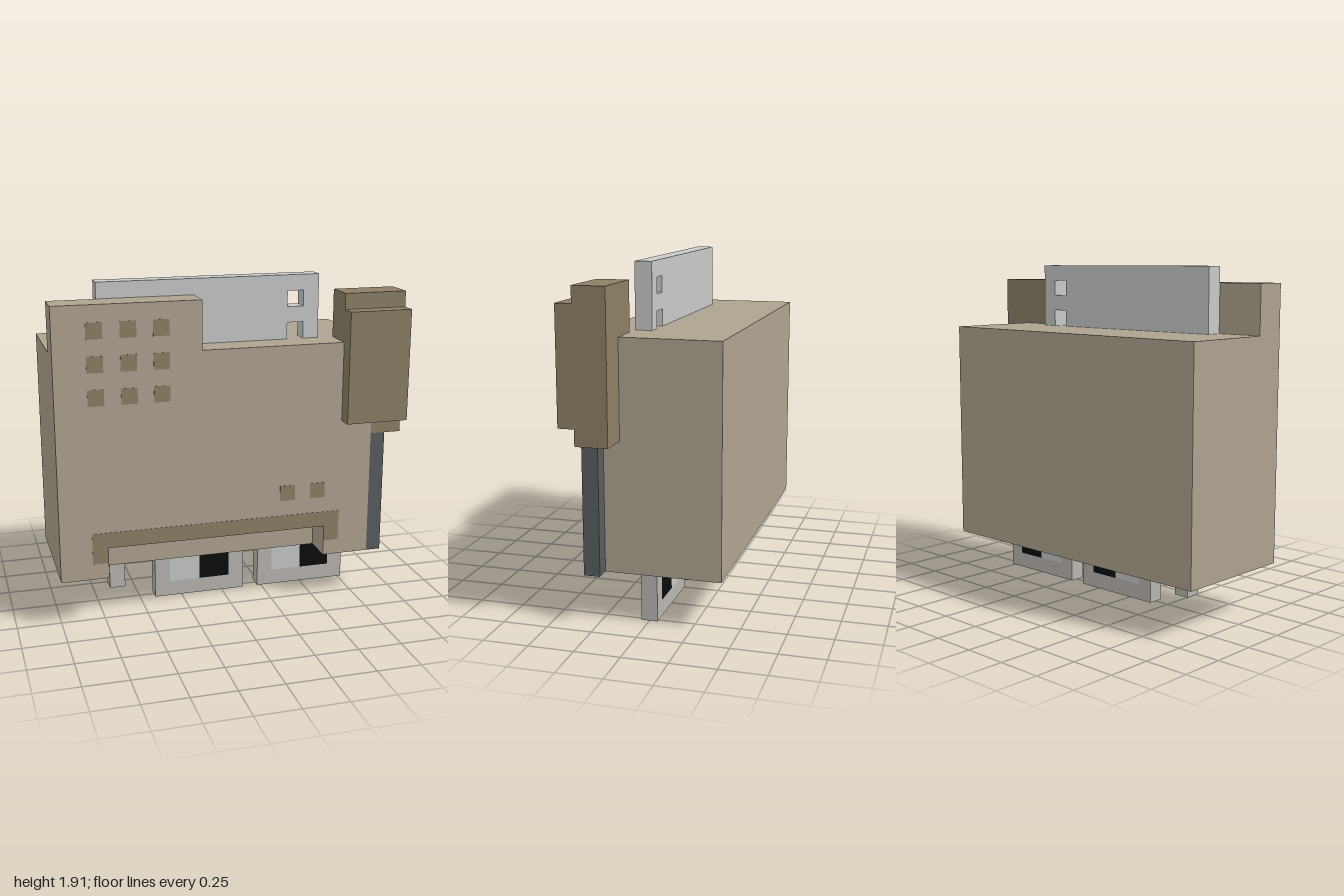
import * as THREE from 'three';

const material = (name, color) => Object.assign(new THREE.MeshStandardMaterial({ color }), { name });

export function createModel() {
  const model = new THREE.Group();
  model.name = 'blockRobot';

  const beige = material('beige', 0xaea390);
  const brown = material('brown', 0x8c8066);
  const silver = material('silver', 0xc8c9c9);
  const warmGrey = material('warmGrey', 0xbab5b1);
  const darkGrey = material('darkGrey', 0x595d5e);
  const black = material('black', 0x0c0c0c);

  const add = (name, geometry, mat) => {
    const mesh = new THREE.Mesh(geometry, mat);
    mesh.name = name;
    model.add(mesh);
    return mesh;
  };
  // Box given by its two limits on each axis
  const box = (name, mat, x0, x1, y0, y1, z0, z1) =>
    add(name, new THREE.BoxGeometry(x1 - x0, y1 - y0, z1 - z0)
      .translate((x0 + x1) / 2, (y0 + y1) / 2, (z0 + z1) / 2), mat);
  // Outline in the xy plane, extruded from z0 to z1
  const toPoints = (list) => list.map(([x, y]) => new THREE.Vector2(x, y));
  const slab = (name, mat, outline, z0, z1, holes = []) => {
    const shape = new THREE.Shape(toPoints(outline));
    for (const hole of holes) shape.holes.push(new THREE.Path(toPoints(hole)));
    add(name, new THREE.ExtrudeGeometry(shape, { depth: z1 - z0, bevelEnabled: false })
      .translate(0, 0, z0), mat);
  };

  // Body: plain rear box and a front slab with raised corner and bottom notch
  box('bodyRear', beige, -1, 0.82, 0.275, 1.545, -0.41, 0.14);
  slab('bodyFront', beige, [
    [-1, 0.275], [-0.73, 0.275], [-0.73, 0.455], [0.545, 0.455], [0.545, 0.275], [0.82, 0.275],
    [0.82, 1.545], [-0.185, 1.545], [-0.185, 1.82], [-1, 1.82],
  ], 0.14, 0.32);

  // Painted vents, buttons and notch border on the front
  const paint = (name, x0, x1, y0, y1) => box(name, brown, x0, x1, y0, y1, 0.318, 0.322);
  for (const x of [-0.82, -0.637, -0.456]) {
    for (const y of [1.272, 1.454, 1.636]) paint('ventSquare', x, x + 0.09, y, y + 0.09);
  }
  for (const x of [0.272, 0.454]) paint('button', x, x + 0.09, 0.636, 0.727);
  paint('notchBorderTop', -0.82, 0.635, 0.455, 0.545);
  paint('notchBorderRight', -0.82, -0.73, 0.365, 0.455);
  paint('notchBorderLeft', 0.545, 0.635, 0.365, 0.455);

  // Plate standing on top, with an open slot at its foot and a window above
  slab('topPlate', silver, [
    [-0.73, 1.545], [0.36, 1.545], [0.36, 1.64], [0.455, 1.64], [0.455, 1.545],
    [0.545, 1.545], [0.545, 1.91], [-0.73, 1.91],
  ], 0.045, 0.14, [[[0.36, 1.73], [0.36, 1.82], [0.455, 1.82], [0.455, 1.73]]]);

  // Side block on its dark post
  slab('sideBlock', brown, [
    [0.637, 1.09], [0.82, 1.09], [0.82, 1.0], [1, 1.0], [1, 1.82], [0.637, 1.82],
  ], 0.14, 0.32);
  box('sideBlockFront', brown, 0.637, 1, 1.09, 1.73, 0.32, 0.41);
  box('sidePost', darkGrey, 0.82, 0.905, 0.275, 1.0, 0.23, 0.32);

  // Two hanging frames with inset panes, flush on both sides
  for (const x of [-0.41, 0.227]) {
    slab('lensFrame', warmGrey, [
      [x, 0], [x + 0.545, 0], [x + 0.545, 0.275], [x + 0.455, 0.275],
      [x + 0.455, 0.09], [x + 0.09, 0.09], [x + 0.09, 0.275], [x, 0.275],
    ], -0.045, 0.045);
    box('lensLight', silver, x + 0.09, x + 0.273, 0.09, 0.275, -0.045, 0.045);
    box('lensDark', black, x + 0.273, x + 0.455, 0.09, 0.275, -0.045, 0.045);
  }

  // Small peg and the flat strip beside it
  box('peg', warmGrey, -0.683, -0.592, 0.09, 0.275, -0.045, 0.045);
  box('pegStrip', warmGrey, -0.592, -0.41, 0.272, 0.277, -0.045, 0.045);

  return model;
}
